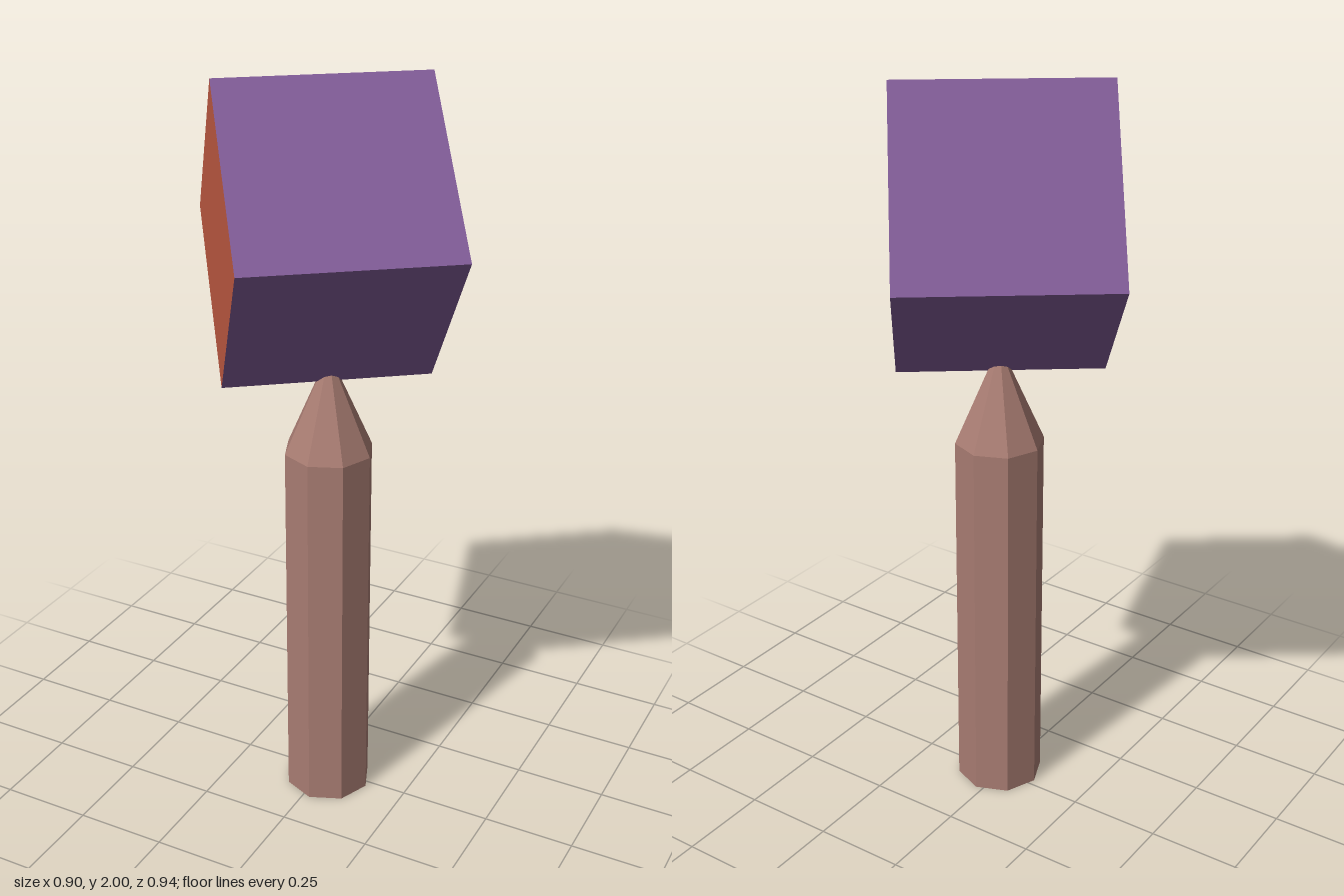
import * as THREE from 'three';

export function createModel() {
  const model = new THREE.Group();
  const flat = (color) => new THREE.MeshStandardMaterial({ color, flatShading: true });
  const brown = flat(0xa87c72);
  const purple = flat(0x7e5a94);
  const orange = flat(0xc05a42);

  const add = (name, geometry, material, x, y, z) => {
    const mesh = new THREE.Mesh(geometry, material);
    mesh.name = name;
    mesh.position.set(x, y, z);
    model.add(mesh);
    return mesh;
  };

  // Eight-sided handle with a tip that runs into the head
  const radius = 0.119, shaft = 1.04, tip = 0.27;
  add('handle', new THREE.CylinderGeometry(radius, radius, shaft, 8), brown, 0.02, shaft / 2, 0.02);
  add('handleTip', new THREE.ConeGeometry(radius, tip, 8, 1, true), brown, 0.02, shaft + tip / 2, 0.02);

  // Tilted cube head: orange ends, purple sides
  const side = 0.543;
  const head = add('head', new THREE.BoxGeometry(side, side, side),
    [orange, orange, purple, purple, purple, purple], 0, 1.618, 0);
  head.rotation.set(THREE.MathUtils.degToRad(40), THREE.MathUtils.degToRad(37.2), 0, 'YXZ');

  return model;
}
